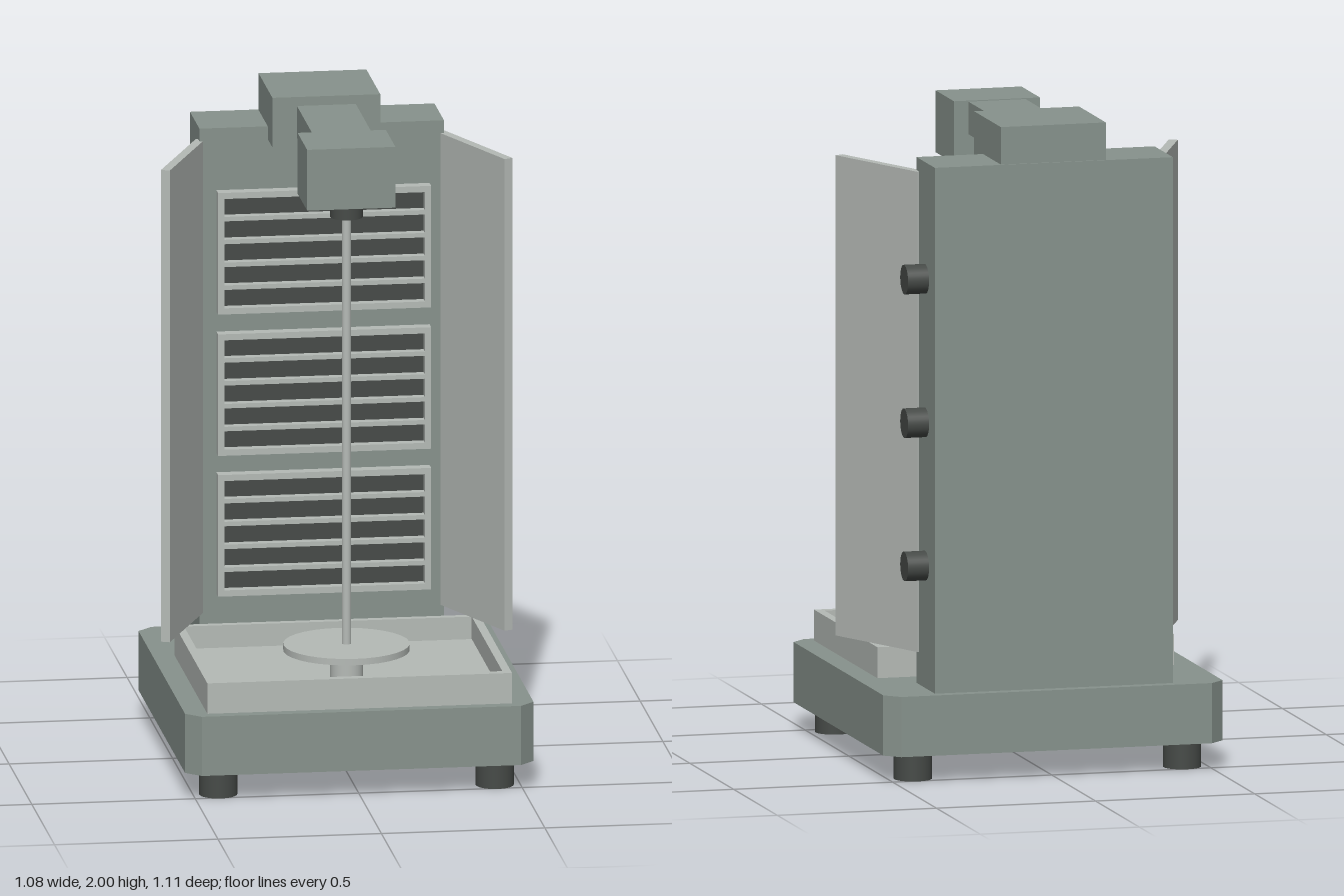
import * as THREE from 'three';

export function createModel() {
  const model = new THREE.Group();
  model.name = 'verticalGrill';

  const paint = (name, color) => {
    const m = new THREE.MeshStandardMaterial({ color });
    m.name = name;
    return m;
  };
  const body = paint('greyGreenEnamel', 0x87928c);
  const steel = paint('lightSteel', 0xb5bab6);
  const dark = paint('darkGrey', 0x464a47);

  const add = (name, geometry, material, parent = model) => {
    const mesh = new THREE.Mesh(geometry, material);
    mesh.name = name;
    parent.add(mesh);
    return mesh;
  };
  // Box given by its limits on each axis
  const box = (name, material, [x0, x1], [y0, y1], [z0, z1], parent) => {
    const mesh = add(name, new THREE.BoxGeometry(x1 - x0, y1 - y0, z1 - z0), material, parent);
    mesh.position.set((x0 + x1) / 2, (y0 + y1) / 2, (z0 + z1) / 2);
    return mesh;
  };
  // Upright cylinder between two heights
  const post = (name, material, r, y0, y1, x, z) => {
    const mesh = add(name, new THREE.CylinderGeometry(r, r, y1 - y0, 32), material);
    mesh.position.set(x, (y0 + y1) / 2, z);
    return mesh;
  };
  const rectPath = (path, x0, x1, y0, y1) => {
    path.moveTo(x0, y0).lineTo(x1, y0).lineTo(x1, y1).lineTo(x0, y1).closePath();
    return path;
  };

  // Base slab with cut corners
  const bx = 0.533, bz = 0.557, c = 0.045;
  const outline = new THREE.Shape([
    [-bx + c, -bz], [bx - c, -bz], [bx, -bz + c], [bx, bz - c],
    [bx - c, bz], [-bx + c, bz], [-bx, bz - c], [-bx, -bz + c],
  ].map(([x, y]) => new THREE.Vector2(x, y)));
  const base = add('base', new THREE.ExtrudeGeometry(outline, { depth: 0.185, bevelEnabled: false }), body);
  base.rotation.x = -Math.PI / 2;
  base.position.y = 0.085;

  // Feet
  for (const x of [-0.423, 0.423])
    for (const z of [-0.45, 0.45]) post('foot', dark, 0.058, 0, 0.085, x, z);

  // Drip tray: rim wall and sunken floor
  const rim = rectPath(new THREE.Shape(), -0.466, 0.466, -0.522, 0.202);
  rim.holes.push(rectPath(new THREE.Path(), -0.44, 0.44, -0.495, 0.178));
  const wall = add('trayRim', new THREE.ExtrudeGeometry(rim, { depth: 0.095, bevelEnabled: false }), steel);
  wall.rotation.x = -Math.PI / 2;
  wall.position.y = 0.27;
  box('trayFloor', steel, [-0.441, 0.441], [0.271, 0.295], [-0.179, 0.496]);

  // Heater tower and overhead motor arm
  box('tower', body, [-0.374, 0.374], [0.27, 1.885], [-0.524, -0.315]);
  box('motorHousing', body, [-0.165, 0.165], [1.845, 2], [-0.518, -0.212]);
  box('arm', body, [-0.09, 0.09], [1.872, 1.972], [-0.22, 0.13]);
  box('armHead', body, [-0.135, 0.135], [1.785, 1.975], [0.126, 0.337]);

  // Spit with collar, plate and hub
  post('spitCollar', dark, 0.05, 1.735, 1.786, 0, 0.23);
  post('spitRod', steel, 0.014, 0.295, 1.74, 0, 0.23);
  post('spitPlate', steel, 0.192, 0.38, 0.4, 0, 0.23);
  post('spitHub', steel, 0.05, 0.294, 0.345, 0, 0.23);

  // Three burners: dark core, open frame and crossbars
  const frame = rectPath(new THREE.Shape(), -0.326, 0.326, -0.19, 0.19);
  frame.holes.push(rectPath(new THREE.Path(), -0.307, 0.307, -0.171, 0.171));
  const frameGeometry = new THREE.ExtrudeGeometry(frame, { depth: 0.037, bevelEnabled: false });
  for (const y of [0.626, 1.066, 1.508]) {
    const burner = new THREE.Group();
    burner.name = 'burner';
    burner.position.y = y;
    model.add(burner);
    box('burnerCore', dark, [-0.313, 0.313], [-0.178, 0.178], [-0.316, -0.281], burner);
    add('burnerFrame', frameGeometry, steel, burner).position.z = -0.287;
    for (let i = -1.5; i <= 1.5; i++) {
      const h = i * 0.0715;
      box('burnerBar', steel, [-0.308, 0.308], [h - 0.007, h + 0.007], [-0.285, -0.253], burner);
    }
  }

  // Splayed side shields
  for (const s of [-1, 1]) {
    const shield = add('sideShield', new THREE.BoxGeometry(0.028, 1.475, 0.396), steel);
    shield.position.set(s * 0.446, 1.1075, -0.161);
    shield.rotation.y = s * 0.41;
  }

  // Control knobs on the left side of the tower
  for (const y of [0.646, 1.086, 1.527]) {
    const knob = add('knob', new THREE.CylinderGeometry(0.045, 0.045, 0.068, 32), dark);
    knob.rotation.z = Math.PI / 2;
    knob.position.set(0.406, y, -0.413);
  }

  return model;
}
